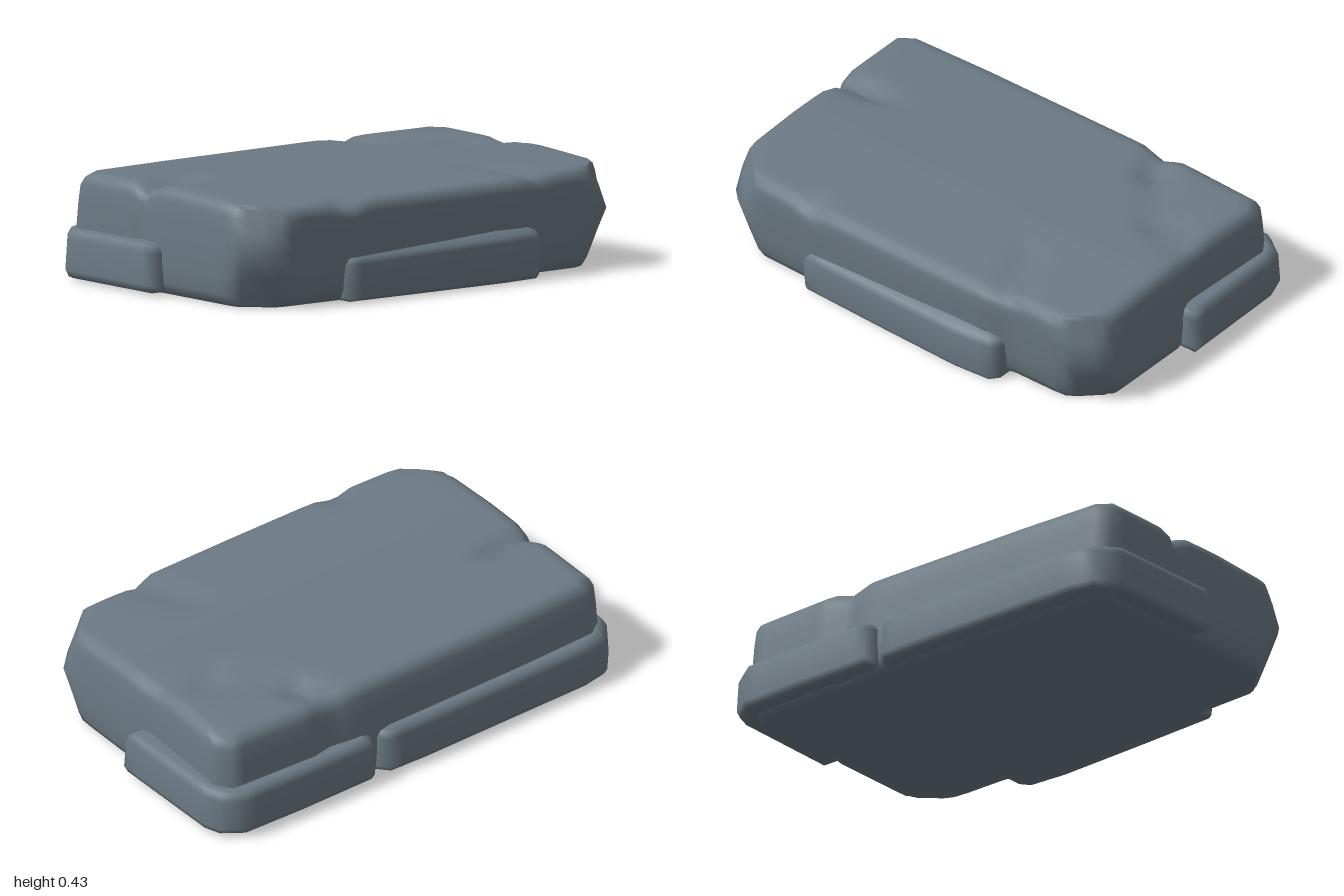
import * as THREE from 'three';

// Splits the edges of an outline into short steps
function densify(points, step) {
  const out = [];
  points.forEach(([x, z], i) => {
    const [x2, z2] = points[(i + 1) % points.length];
    const n = Math.max(1, Math.round(Math.hypot(x2 - x, z2 - z) / step));
    for (let k = 0; k < n; k++) out.push([x + ((x2 - x) * k) / n, z + ((z2 - z) * k) / n]);
  });
  return out;
}

// Lofts an outline (x, z) through levels of [y, inset], closed by inward rings, then warps it
function stone(name, points, levels, capRings, material, warp) {
  const outline = densify(points, 0.06);
  const xs = points.map((p) => p[0]), zs = points.map((p) => p[1]);
  const x0 = Math.min(...xs), x1 = Math.max(...xs), z0 = Math.min(...zs), z1 = Math.max(...zs);
  const cx = (x0 + x1) / 2, cz = (z0 + z1) / 2, hx = (x1 - x0) / 2, hz = (z1 - z0) / 2;
  const rings = [];
  const first = levels[0], last = levels[levels.length - 1];
  for (let i = 0; i < capRings; i++) rings.push([...first, i / capRings]);
  levels.forEach(([y, inset]) => rings.push([y, inset, 1]));
  for (let i = capRings - 1; i >= 0; i--) rings.push([...last, i / capRings]);

  const positions = [], index = [], n = outline.length, v = new THREE.Vector3();
  rings.forEach(([y, inset, s]) => {
    for (const [x, z] of outline) {
      v.set(cx + (x - cx) * (1 - inset / hx) * s, y, cz + (z - cz) * (1 - inset / hz) * s);
      if (warp) warp(v);
      positions.push(v.x, v.y, v.z);
    }
  });
  for (let r = 0; r < rings.length - 1; r++) {
    for (let i = 0; i < n; i++) {
      const j = (i + 1) % n, a = r * n + i, b = r * n + j, c = a + n, d = b + n;
      index.push(a, b, c, b, d, c);
    }
  }
  const geometry = new THREE.BufferGeometry();
  geometry.setAttribute('position', new THREE.Float32BufferAttribute(positions, 3));
  geometry.setIndex(index);
  geometry.computeVertexNormals();
  const mesh = new THREE.Mesh(geometry, material);
  mesh.name = name;
  return mesh;
}

// Distance from a point to a segment in plan
function segmentDistance(x, z, [ax, az], [bx, bz]) {
  const dx = bx - ax, dz = bz - az;
  const t = THREE.MathUtils.clamp(((x - ax) * dx + (z - az) * dz) / (dx * dx + dz * dz), 0, 1);
  return Math.hypot(x - ax - dx * t, z - az - dz * t);
}

// Grooves worn into the top: start, end, depth, width
const grooves = [
  [[-0.13, 0.95], [-0.14, 0.72], 0.035, 0.05],
  [[-0.05, -0.95], [-0.16, -0.7], 0.018, 0.06],
  [[-0.16, -0.7], [-0.42, -0.46], 0.018, 0.06],
  [[-0.42, -0.46], [-0.6, -0.38], 0.025, 0.05],
  [[0.3, -0.42], [0.62, -0.53], 0.02, 0.05],
  [[0.56, 0.47], [0.64, 0.47], 0.03, 0.05],
];

function warpSlab(v) {
  const { x, y, z } = v;
  // Top slopes down to the left side and is cut by the grooves
  const high = THREE.MathUtils.smoothstep(y, 0.25, 0.41);
  let drop = Math.max(0, x - 0.13) * 0.06;
  for (const [a, b, depth, width] of grooves) {
    drop += depth * Math.exp(-((segmentDistance(x, z, a, b) / width) ** 2));
  }
  v.y -= drop * high;
  // One side overhangs and the other leans in
  v.x += x > 0 ? 0.1 * (y - 0.3) * (x / 0.6) : 0.08 * (y - 0.2) * (-x / 0.6);
  // Broad facets on the two left corners
  if (x > 0) {
    const cut = Math.max(0, x + Math.abs(z) + 0.5 * Math.abs(y - 0.22) - 1.42) * 0.5;
    v.x -= cut;
    v.z -= cut * Math.sign(z);
  }
}

export function createModel() {
  const group = new THREE.Group();
  group.name = 'stoneSlab';
  const rock = new THREE.MeshStandardMaterial({ color: 0x6c7a84 });
  rock.name = 'slate grey';

  // Main block
  const slab = [
    [0.585, 0.82], [0.6, 0.45], [0.605, 0], [0.605, -0.42], [0.575, -0.53], [0.575, -0.86], [0.55, -0.935],
    [0, -0.935], [-0.07, -0.92], [-0.5, -0.935], [-0.565, -0.89], [-0.585, -0.5], [-0.57, -0.42],
    [-0.585, -0.3], [-0.585, 0.5], [-0.575, 0.87], [-0.53, 0.93], [-0.17, 0.93], [-0.13, 0.91],
    [-0.1, 0.93], [0.5, 0.935], [0.565, 0.9],
  ];
  group.add(stone('mainBlock', slab, [
    [0.003, 0.045], [0.012, 0.025], [0.05, 0.005], [0.13, 0], [0.22, 0], [0.31, 0.002],
    [0.38, 0.006], [0.41, 0.018], [0.426, 0.04], [0.43, 0.07],
  ], 14, rock, warpSlab));

  // Low ledge stones wrapping the right side, front and back
  const ledgeLevels = [
    [0.012, 0.025], [0.02, 0.01], [0.045, 0], [0.17, 0.006], [0.198, 0.018], [0.208, 0.04],
  ];
  group.add(stone('frontLedge', [
    [0, 0.99], [0, -0.2], [-0.59, -0.21], [-0.635, -0.17], [-0.642, 0],
    [-0.64, 0.8], [-0.62, 0.91], [-0.53, 0.985],
  ], ledgeLevels, 3, rock));
  group.add(stone('backLedge', [
    [0, -0.22], [0, -1], [-0.5, -0.99], [-0.57, -0.965], [-0.63, -0.88], [-0.64, -0.6], [-0.64, -0.25], [-0.59, -0.22],
  ], ledgeLevels, 3, rock, (v) => { v.y += 0.006; }));

  // Ledge stone on the left side, tapering toward the front
  group.add(stone('leftLedge', [
    [0.605, 0.485], [0.625, 0.1], [0.642, -0.3], [0.63, -0.47], [0.59, -0.5], [0.3, -0.5], [0.3, 0.485],
  ], [
    [0.005, 0.012], [0.02, 0.004], [0.09, 0], [0.165, 0], [0.19, 0.015], [0.215, 0.05],
  ], 3, rock, (v) => { v.y *= 0.95 - 0.12 * v.z; }));

  return group;
}
